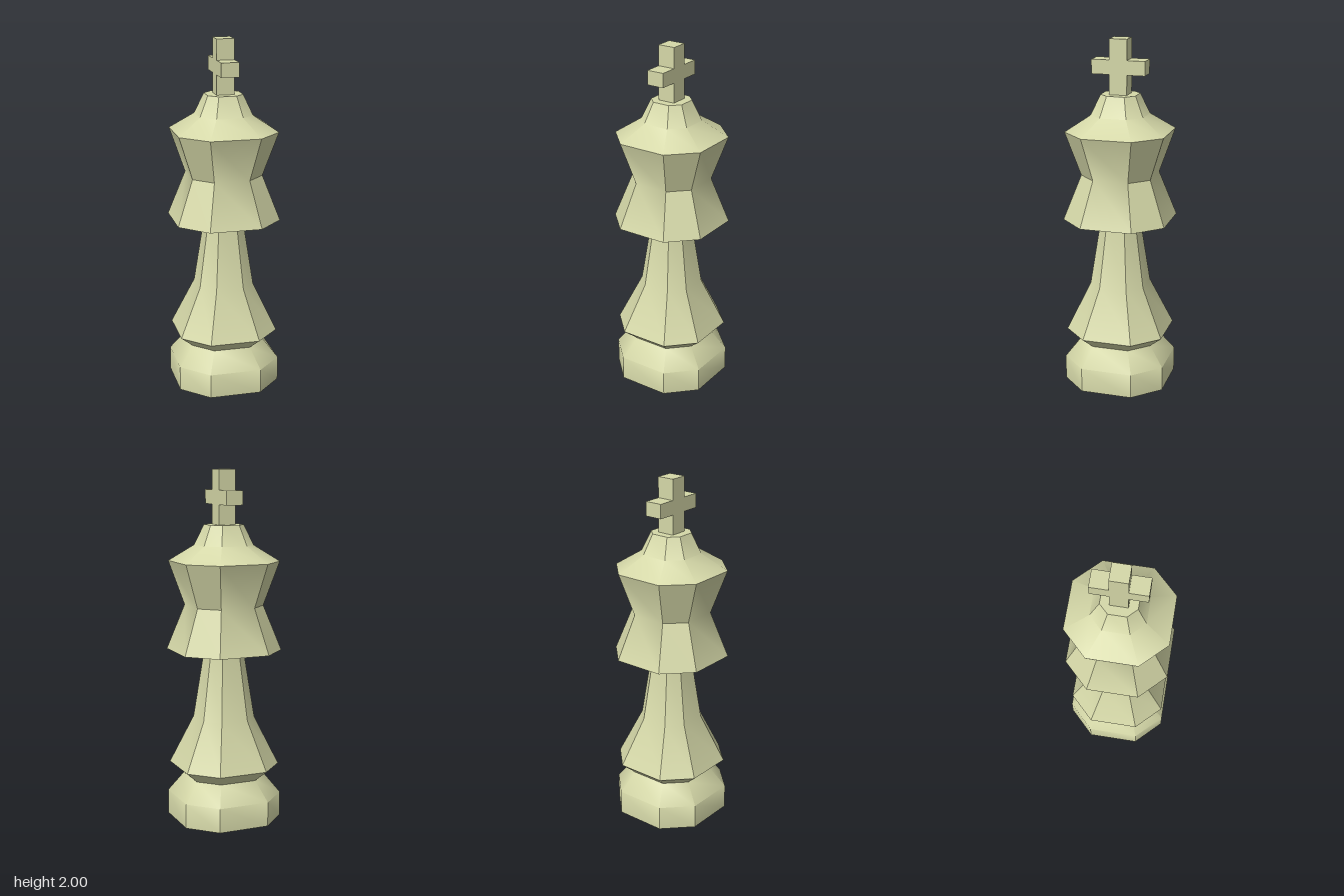
import * as THREE from 'three';
import { toCreasedNormals } from 'three/addons/utils/BufferGeometryUtils.js';

const material = new THREE.MeshStandardMaterial({ color: 0xd5d8a8, side: THREE.DoubleSide });

// Eight-sided turned part; profile is [half width, height] from bottom to top.
// Corners sit at (r, r/2), so the four main faces are wider than the diagonals.
function turned(name, profile) {
  const points = profile.map(([r, y]) => new THREE.Vector2(r, y));
  const geometry = new THREE.LatheGeometry(points, 8, Math.PI / 8);
  const pos = geometry.attributes.position;
  for (let i = 0; i < pos.count; i++) {
    const x = pos.getX(i), z = pos.getZ(i);
    const r = profile[i % profile.length][0];
    const wideX = Math.abs(x) > Math.abs(z);
    pos.setX(i, Math.sign(x) * (wideX ? r : r / 2));
    pos.setZ(i, Math.sign(z) * (wideX ? r / 2 : r));
  }
  geometry.deleteAttribute('uv');
  const mesh = new THREE.Mesh(toCreasedNormals(geometry, THREE.MathUtils.degToRad(40)), material);
  mesh.name = name;
  return mesh;
}

// Cross outline extruded through x, with its arms along z
function finialCross() {
  const outline = [[0.05, 1.69], [0.05, 1.805], [0.152, 1.805], [0.152, 1.885], [0.05, 1.885], [0.05, 2]];
  const mirrored = outline.map(([x, y]) => [-x, y]).reverse();
  const shape = new THREE.Shape([...outline, ...mirrored].map(([x, y]) => new THREE.Vector2(x, y)));
  const geometry = new THREE.ExtrudeGeometry(shape, { depth: 0.1, bevelEnabled: false });
  geometry.translate(0, 0, -0.05).rotateY(Math.PI / 2);
  const mesh = new THREE.Mesh(geometry, material);
  mesh.name = 'finialCross';
  return mesh;
}

export function createModel() {
  const model = new THREE.Group();
  model.name = 'chessKing';
  model.add(
    turned('base', [[0, 0], [0.293, 0], [0.293, 0.14], [0.21, 0.25]]),
    turned('stem', [[0.21, 0.25], [0.282, 0.315], [0.157, 0.59], [0.1, 0.985], [0.098, 1.02]]),
    // Flared head with a shallow recess around the stem
    turned('head', [
      [0.098, 1.02], [0.14, 0.985], [0.293, 0.985], [0.2, 1.24],
      [0.282, 1.49], [0.15, 1.58], [0.1, 1.694], [0, 1.694],
    ]),
    finialCross(),
  );
  return model;
}
